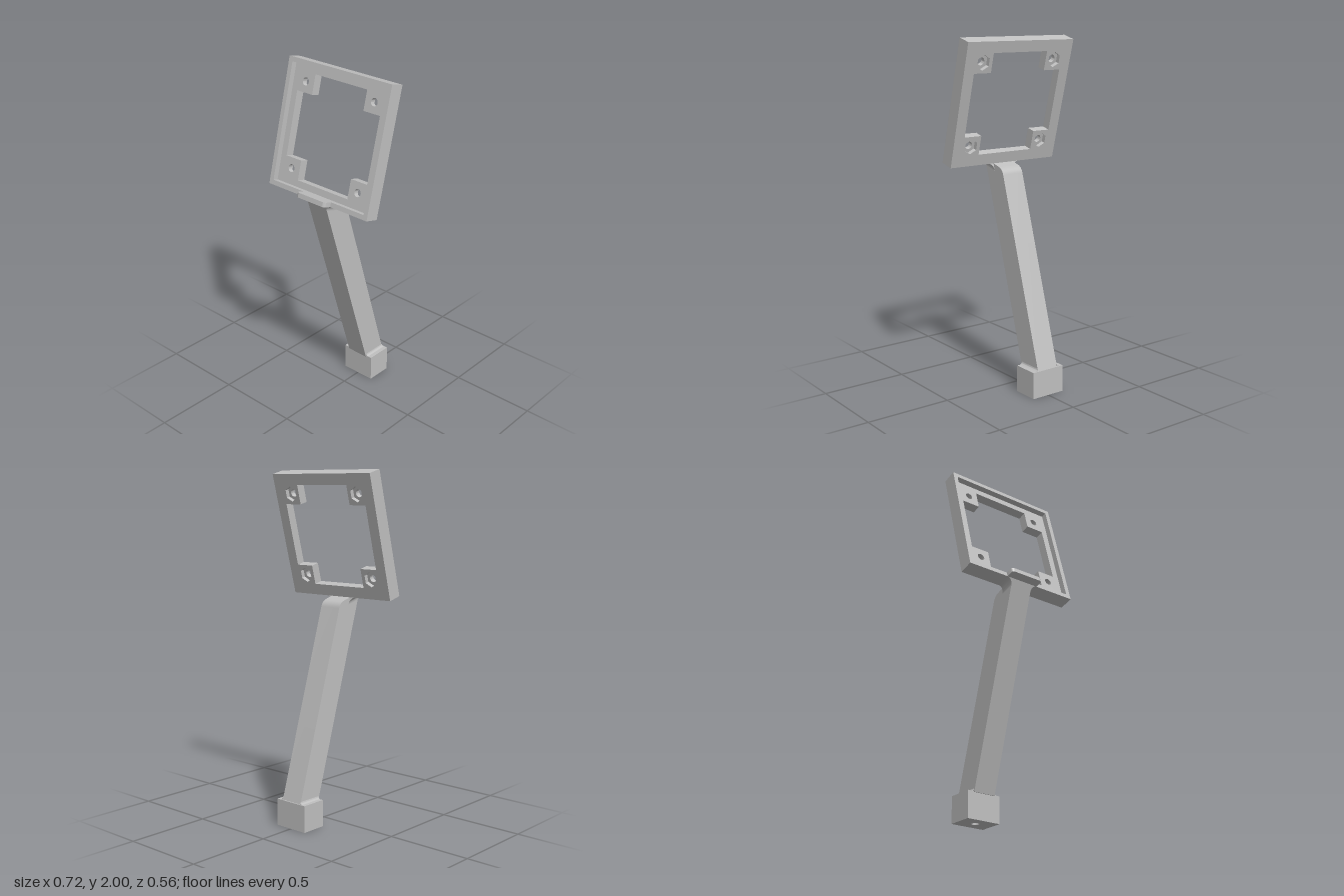
import * as THREE from 'three';
import { toCreasedNormals } from 'three/addons/utils/BufferGeometryUtils.js';

const TILT = THREE.MathUtils.degToRad(15);

function polygon(points, Type = THREE.Shape) {
  return new Type(points.map(([x, y]) => new THREE.Vector2(x, y)));
}

function rectangle(w, h, Type = THREE.Shape) {
  return polygon([[-w / 2, -h / 2], [w / 2, -h / 2], [w / 2, h / 2], [-w / 2, h / 2]], Type);
}

// Regular polygon with a corner pointing up
function ring(x, y, r, sides) {
  return polygon(Array.from({ length: sides }, (_, i) => {
    const a = Math.PI / 2 + (i / sides) * Math.PI * 2;
    return [x + r * Math.cos(a), y + r * Math.sin(a)];
  }), THREE.Path);
}

function extrude(shape, depth) {
  return new THREE.ExtrudeGeometry(shape, { depth, bevelEnabled: false, curveSegments: 8 });
}

export function createModel() {
  const model = new THREE.Group();
  model.name = 'mountingBracket';
  const grey = new THREE.MeshStandardMaterial({ color: 0xbfbfbf });
  grey.name = 'plainGrey';

  const add = (parent, name, geometry) => {
    const mesh = new THREE.Mesh(toCreasedNormals(geometry, 0.6), grey);
    mesh.name = name;
    parent.add(mesh);
    return mesh;
  };

  // Base block with a screw hole underneath
  const baseShape = rectangle(0.21, 0.153);
  baseShape.holes.push(ring(0, 0, 0.022, 24));
  add(model, 'base', extrude(baseShape, 0.155).rotateX(-Math.PI / 2).translate(0, 0, -0.2035));

  // Leaning arm, rounded at its upper back edge
  const armShape = new THREE.Shape();
  armShape.moveTo(-0.122, 0.15);
  armShape.lineTo(-0.274, 0.15);
  armShape.lineTo(0.053, 1.228);
  armShape.quadraticCurveTo(0.063, 1.261, 0.095, 1.269);
  armShape.lineTo(0.146, 1.283);
  armShape.lineTo(0.228, 1.305);
  armShape.closePath();
  add(model, 'arm', extrude(armShape, 0.136).rotateY(-Math.PI / 2).translate(0.068, 0, 0));

  // Small fillets where the arm meets the base
  for (const side of [-1, 1]) {
    const s = new THREE.Shape();
    s.moveTo(0, 0);
    s.lineTo(0.014, 0);
    s.quadraticCurveTo(0.002, 0.002, 0, 0.014);
    s.closePath();
    const g = extrude(s, 0.15);
    if (side < 0) g.rotateY(Math.PI).translate(0, 0, 0.15);
    add(model, 'baseFillet', g.translate(side * 0.068, 0.155, -0.274));
  }

  // Tilted head: origin at the lower front edge of the frame
  const head = new THREE.Group();
  head.name = 'head';
  head.position.set(0, 1.305, 0.228);
  head.rotation.x = -TILT;
  model.add(head);

  // Frame layers: raised rim, plate with round holes, back with nut pockets
  const a = 0.183, b = 0.295;
  const cross = [[-a, -b], [a, -b], [a, -a], [b, -a], [b, a], [a, a],
    [a, b], [-a, b], [-a, a], [-b, a], [-b, -a], [-a, -a]];
  const rim = rectangle(0.72, 0.72);
  rim.holes.push(rectangle(0.666, 0.666, THREE.Path));
  const plate = rectangle(0.72, 0.72);
  const back = rectangle(0.72, 0.72);
  for (const [shape, radius, sides] of [[plate, 0.022, 24], [back, 0.044, 6]]) {
    shape.holes.push(polygon(cross, THREE.Path));
    for (const x of [-0.243, 0.243])
      for (const y of [-0.243, 0.243]) shape.holes.push(ring(x, y, radius, sides));
  }
  add(head, 'frameRim', extrude(rim, 0.033).translate(0, 0.36, -0.033));
  add(head, 'framePlate', extrude(plate, 0.028).translate(0, 0.36, -0.061));
  add(head, 'frameBack', extrude(back, 0.024).translate(0, 0.36, -0.085));

  // Lip sticking out at the front, with rounded corners
  const w = 0.104, d = 0.05, r = 0.016;
  const lip = new THREE.Shape();
  lip.moveTo(-w, -0.01);
  lip.lineTo(w, -0.01);
  lip.lineTo(w, d - r);
  lip.absarc(w - r, d - r, r, 0, Math.PI / 2);
  lip.absarc(-w + r, d - r, r, Math.PI / 2, Math.PI);
  lip.closePath();
  add(head, 'frontLip', extrude(lip, 0.027).rotateX(Math.PI / 2).translate(0, 0.027, 0));

  // Flared neck under the frame, sheared to follow the arm
  const f = 0.036;
  const flare = new THREE.Shape();
  flare.moveTo(-0.068, -f);
  flare.lineTo(0.068, -f);
  flare.absarc(0.068 + f, -f, f, Math.PI, Math.PI / 2, true);
  flare.lineTo(-0.068 - f, 0);
  flare.absarc(-0.068 - f, -f, f, Math.PI / 2, 0, true);
  const neck = extrude(flare, 0.085).translate(0, 0, -0.085);
  const p = neck.attributes.position;
  for (let i = 0; i < p.count; i++) p.setZ(i, p.getZ(i) + p.getY(i) * 0.62);
  add(head, 'neckFlare', neck);

  return model;
}
